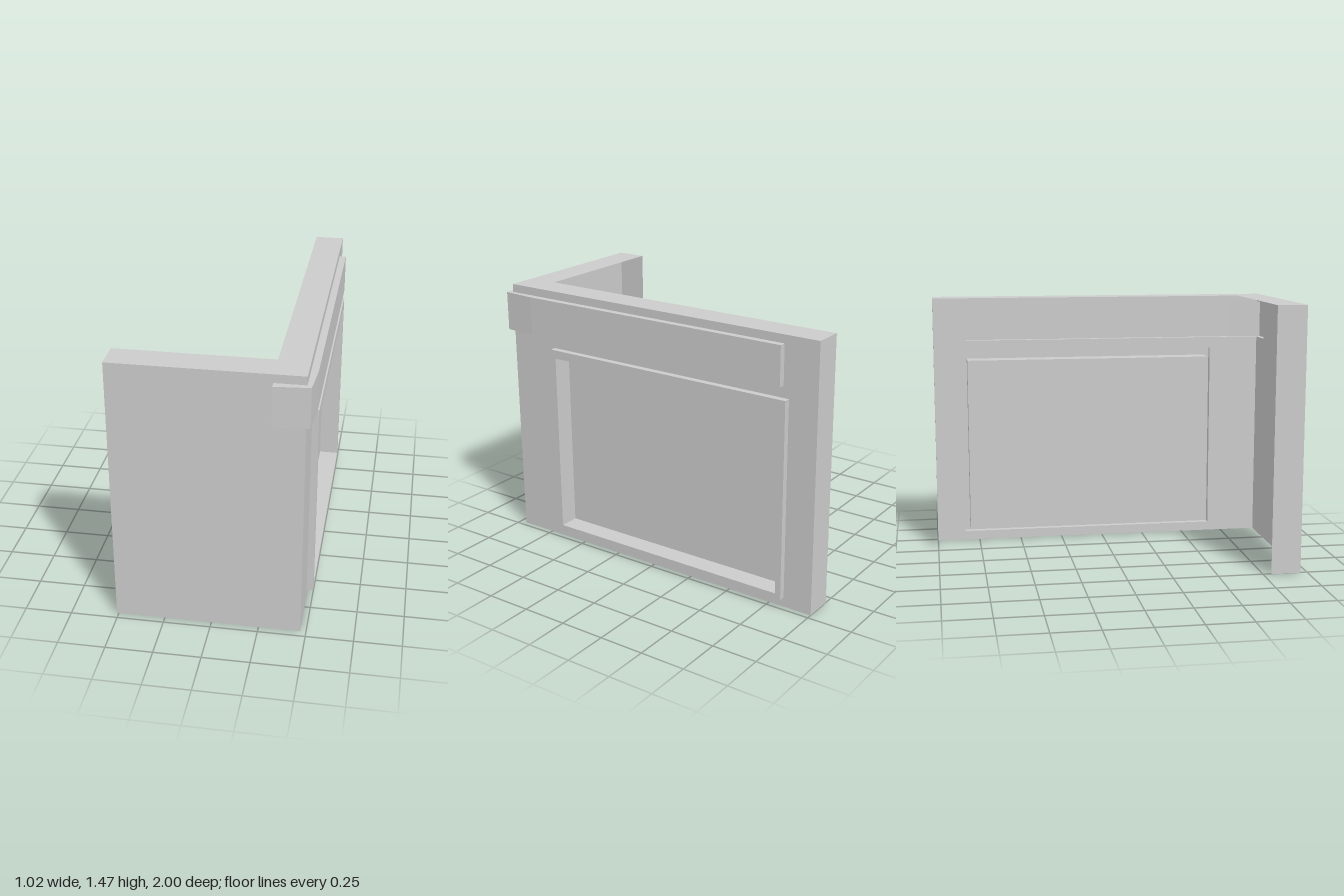
import * as THREE from 'three';

const material = new THREE.MeshStandardMaterial({ color: 0xcccccc, side: THREE.DoubleSide });

const H = 1.47;                                   // wall height
const X0 = -0.51, X1 = 0.47, XI = 0.31;           // front wall extent, inner edge of side wall
const Z0 = -1, Z1 = 0.96, ZI = 0.795;             // side wall extent, inner edge of front wall
const BAND = { y0: 1.21, y1: 1.425, zBack: -0.805 };

function add(parent, name, geometry) {
  const mesh = new THREE.Mesh(geometry, material);
  mesh.name = name;
  parent.add(mesh);
  return mesh;
}

// Flat-shaded quads joining two matching rows of points
function loft(rowA, rowB) {
  const pos = [];
  for (let i = 0; i < rowA.length - 1; i++) {
    const a = rowA[i], b = rowA[i + 1], c = rowB[i + 1], d = rowB[i];
    pos.push(...a, ...b, ...c, ...a, ...c, ...d);
  }
  const g = new THREE.BufferGeometry();
  g.setAttribute('position', new THREE.Float32BufferAttribute(pos, 3));
  g.computeVertexNormals();
  return g;
}

// Upright faces following a plan path of [x, z] points
const upright = (path, y0, y1) =>
  loft(path.map(([x, z]) => [x, y0, z]), path.map(([x, z]) => [x, y1, z]));

const polygon = (pts) => new THREE.Shape(pts.map(([x, y]) => new THREE.Vector2(x, y)));

// Horizontal face from a plan outline, facing up or down
function level(outline, y, up) {
  const s = up ? -1 : 1;
  return new THREE.ShapeGeometry(polygon(outline.map(([x, z]) => [x, s * z])))
    .rotateX(s * Math.PI / 2).translate(0, y, 0);
}

const rect = ([u0, u1, v0, v1]) => [[u0, v0], [u1, v0], [u1, v1], [u0, v1]];

export function createModel() {
  const model = new THREE.Group();
  model.name = 'cornerFacade';

  // Wall shell: outer faces, end faces and top, open on the inside and below
  const walls = new THREE.Group();
  walls.name = 'walls';
  model.add(walls);

  // Front wall, notched at the corner behind the band
  add(walls, 'frontWall', new THREE.ShapeGeometry(polygon([
    [X0, 0], [X1, 0], [X1, BAND.y0], [XI, BAND.y0], [XI, BAND.y1], [X1, BAND.y1], [X1, H], [X0, H],
  ]))).position.z = Z1;

  // Side wall, drawn in (-z, y), notched for the band and cut out for the window
  const frameOuter = [-0.668, 0.837, 0.053, 1.147];
  const frameInner = [-0.636, 0.805, 0.083, 1.1];
  const side = polygon([
    [-Z1, 0], [-Z0, 0], [-Z0, H], [-Z1, H], [-Z1, BAND.y1],
    [-BAND.zBack, BAND.y1], [-BAND.zBack, BAND.y0], [-Z1, BAND.y0],
  ]);
  side.holes.push(polygon(rect(frameOuter)));
  add(walls, 'sideWall', new THREE.ShapeGeometry(side).rotateY(Math.PI / 2)).position.x = X1;

  add(walls, 'frontWallEnd', upright([[X0, ZI], [X0, Z1]], 0, H));
  add(walls, 'sideWallEnd', upright([[X1, Z0], [XI, Z0]], 0, H));
  add(walls, 'wallTop', level(
    [[X0, ZI], [XI, ZI], [XI, Z0], [X1, Z0], [X1, Z1], [X0, Z1]], H, true));

  // Sign band wrapping round the corner
  const band = new THREE.Group();
  band.name = 'signBand';
  model.add(band);
  const bandPath = [[XI, Z1], [XI, 1], [0.493, 0.985], [0.507, 0.8],
    [0.506, BAND.zBack], [X1, BAND.zBack]];
  add(band, 'bandFace', upright(bandPath, BAND.y0, BAND.y1));
  add(band, 'bandTop', level([...bandPath, [X1, Z1]], BAND.y1, true));
  add(band, 'bandBottom', level([...bandPath, [X1, Z1]], BAND.y0, false));

  // Window: raised frame stepping back into a recessed panel
  const windowGroup = new THREE.Group();
  windowGroup.name = 'window';
  windowGroup.rotation.y = Math.PI / 2;
  model.add(windowGroup);
  const ring = (r, depth) => {
    const c = rect(r);
    return [...c, c[0]].map(([u, v]) => [u, v, depth]);
  };
  const steps = [
    ['frameEdge', ring(frameOuter, X1), ring(frameOuter, 0.505)],
    ['frameFront', ring(frameOuter, 0.505), ring(frameInner, 0.505)],
    ['recessSides', ring(frameInner, 0.505), ring(frameInner, 0.394)],
  ];
  for (const [name, a, b] of steps) add(windowGroup, name, loft(a, b));
  add(windowGroup, 'windowPanel',
    new THREE.ShapeGeometry(polygon(rect(frameInner)))).position.z = 0.394;

  return model;
}
